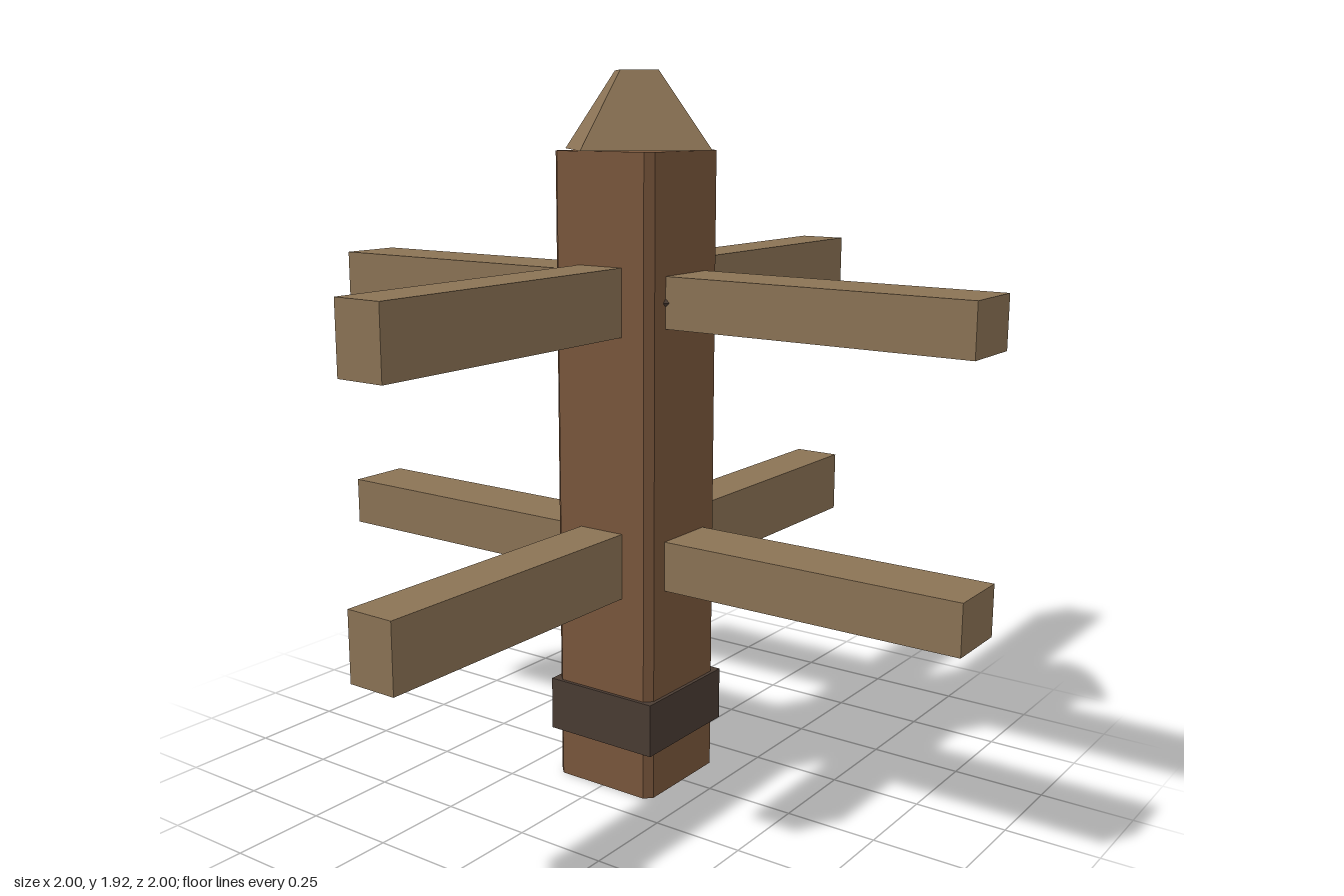
import * as THREE from 'three';

const material = (color) => new THREE.MeshStandardMaterial({ color, flatShading: true });

export function createModel() {
  const model = new THREE.Group();
  model.name = 'postWithCrossbars';
  const postWood = material(0x7a573c);
  const barWood = material(0x8b7355);
  const darkMetal = material(0x4a3c33);

  const add = (name, geometry, mat, x, y, z) => {
    const mesh = new THREE.Mesh(geometry, mat);
    mesh.name = name;
    mesh.position.set(x, y, z);
    model.add(mesh);
    return mesh;
  };

  // Square post with chamfered vertical edges
  const h = 0.158, c = 0.138;
  const section = new THREE.Shape([
    [h, -c], [h, c], [c, h], [-c, h], [-h, c], [-h, -c], [-c, -h], [c, -h],
  ].map(([x, y]) => new THREE.Vector2(x, y)));
  const postGeometry = new THREE.ExtrudeGeometry(section, { depth: 1.72, bevelEnabled: false });
  postGeometry.rotateX(-Math.PI / 2);
  add('post', postGeometry, postWood, 0, 0, 0);

  // Band around the foot
  add('footBand', new THREE.BoxGeometry(0.336, 0.146, 0.336), darkMetal, 0, 0.205, 0);

  // Two tiers of crossing bars
  [['lower', 0.642], ['upper', 1.342]].forEach(([tier, y]) => {
    add(tier + 'SideBar', new THREE.BoxGeometry(2, 0.135, 0.18), barWood, 0, y, 0);
    add(tier + 'FrontBar', new THREE.BoxGeometry(0.136, 0.178, 2), barWood, 0, y, 0);
  });

  // Small pegs where the upper side bar meets the post
  for (const side of [-1, 1]) {
    add(side > 0 ? 'leftPeg' : 'rightPeg', new THREE.OctahedronGeometry(0.018), darkMetal,
      side * 0.153, 1.342, 0.088);
  }

  // Four-sided tapered cap, corners on the axes
  add('cap', new THREE.CylinderGeometry(0.07, 0.237, 0.2, 4), barWood, 0, 1.822, 0);

  return model;
}
